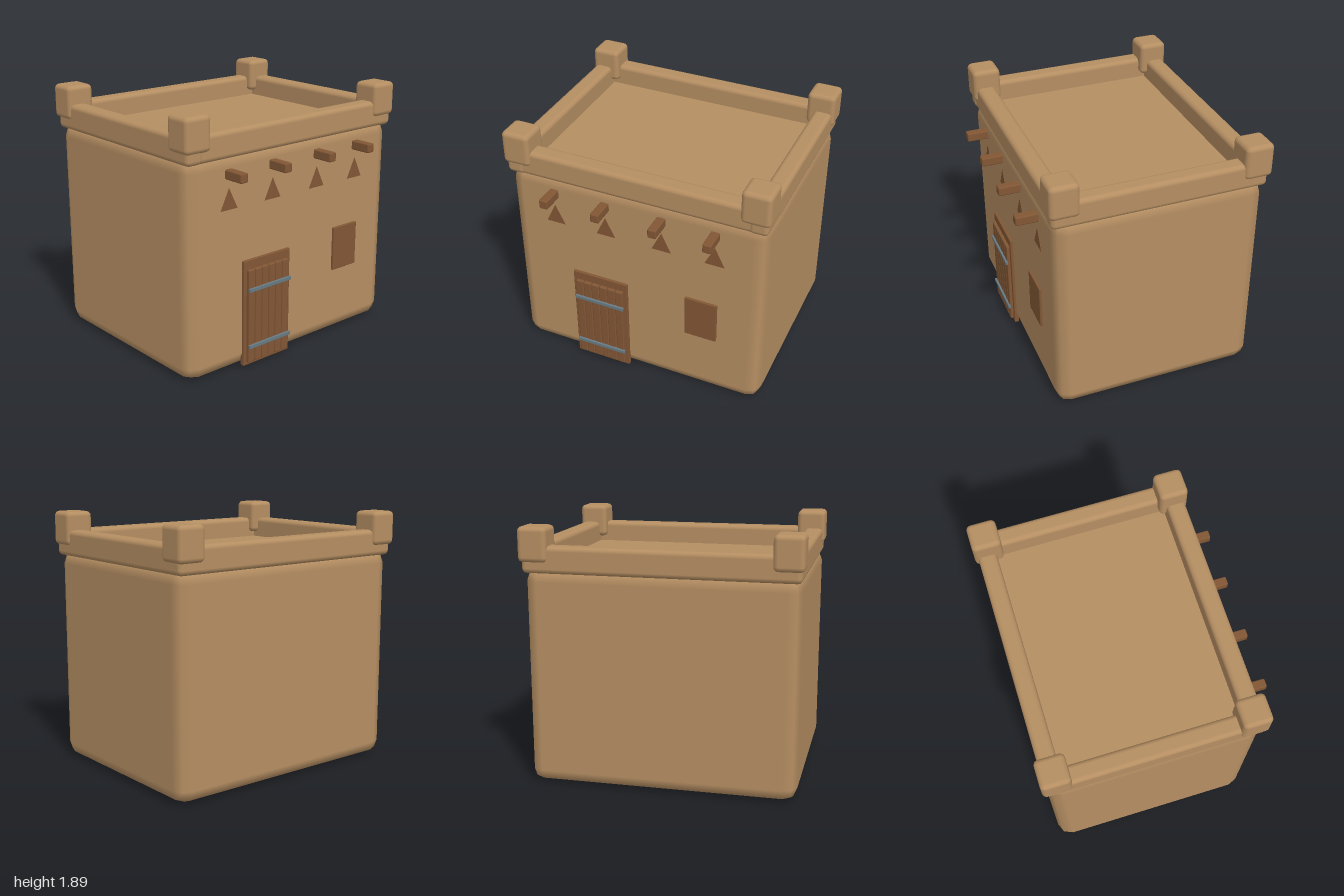
import * as THREE from 'three';
import { RoundedBoxGeometry } from 'three/addons/geometries/RoundedBoxGeometry.js';

export function createModel() {
  const root = new THREE.Group();
  root.name = 'adobeHouse';

  const mat = (name, color) => {
    const m = new THREE.MeshStandardMaterial({ color });
    m.name = name;
    return m;
  };
  const clay = mat('clay', 0xb58e62);
  const wood = mat('wood', 0x825735);
  const iron = mat('iron', 0x687a82);

  // Rounded block given by its limits on each axis
  const block = (name, material, [x0, x1], [y0, y1], [z0, z1], radius, segments = 2, parent = root) => {
    const geo = new RoundedBoxGeometry(x1 - x0, y1 - y0, z1 - z0, segments, radius);
    const mesh = new THREE.Mesh(geo, material);
    mesh.position.set((x0 + x1) / 2, (y0 + y1) / 2, (z0 + z1) / 2);
    mesh.name = name;
    parent.add(mesh);
    return mesh;
  };

  // Main walls, with the flat roof as their top
  block('walls', clay, [-0.98, 0.98], [0, 1.6], [-0.83, 0.705], 0.1, 1);

  // Parapet around the roof
  block('parapetFront', clay, [-0.98, 0.98], [1.56, 1.755], [0.575, 0.715], 0.035);
  block('parapetBack', clay, [-0.98, 0.98], [1.56, 1.755], [-0.84, -0.705], 0.035);
  for (const s of [-1, 1]) {
    const side = s > 0 ? 'Left' : 'Right';
    const span = (a, b) => (s > 0 ? [a, b] : [-b, -a]);
    block('parapet' + side, clay, span(0.845, 0.983), [1.56, 1.755], [-0.84, 0.722], 0.035);
    // Corner blocks
    block('cornerFront' + side, clay, span(0.787, 1), [1.64, 1.89], [0.525, 0.737], 0.035);
    block('cornerBack' + side, clay, span(0.787, 1), [1.64, 1.89], [-0.865, -0.653], 0.035);
  }

  // Roof beams with a triangular mark below each
  const triangle = new THREE.Shape([
    new THREE.Vector2(-0.074, 1.205),
    new THREE.Vector2(0.074, 1.205),
    new THREE.Vector2(0, 1.357),
  ]);
  const triangleGeo = new THREE.ExtrudeGeometry(triangle, { depth: 0.006, bevelEnabled: false });
  for (const x of [-0.62, -0.22, 0.213, 0.613]) {
    block('roofBeam', wood, [x - 0.033, x + 0.033], [1.423, 1.491], [0.6, 0.865], 0.01, 1);
    const mark = new THREE.Mesh(triangleGeo, wood);
    mark.position.set(x, 0, 0.702);
    mark.name = 'triangleMark';
    root.add(mark);
  }

  // Door: backing frame, planks and iron bands
  const door = new THREE.Group();
  door.name = 'door';
  root.add(door);
  block('doorFrame', wood, [-0.5, -0.06], [0.005, 0.805], [0.69, 0.725], 0.006, 1, door);
  const pitch = 0.0645;
  for (let i = 0; i < 6; i++) {
    const x = -0.473 + i * pitch;
    block('doorPlank', wood, [x, x + 0.061], [0.03, 0.738], [0.715, 0.75], 0.008, 1, door);
  }
  for (const y of [0.157, 0.59]) {
    block('doorBand', iron, [-0.475, -0.08], [y - 0.014, y + 0.014], [0.745, 0.765], 0.003, 1, door);
  }

  // Window shutter
  block('windowShutter', wood, [0.398, 0.644], [0.513, 0.851], [0.69, 0.723], 0.006, 1);

  return root;
}
